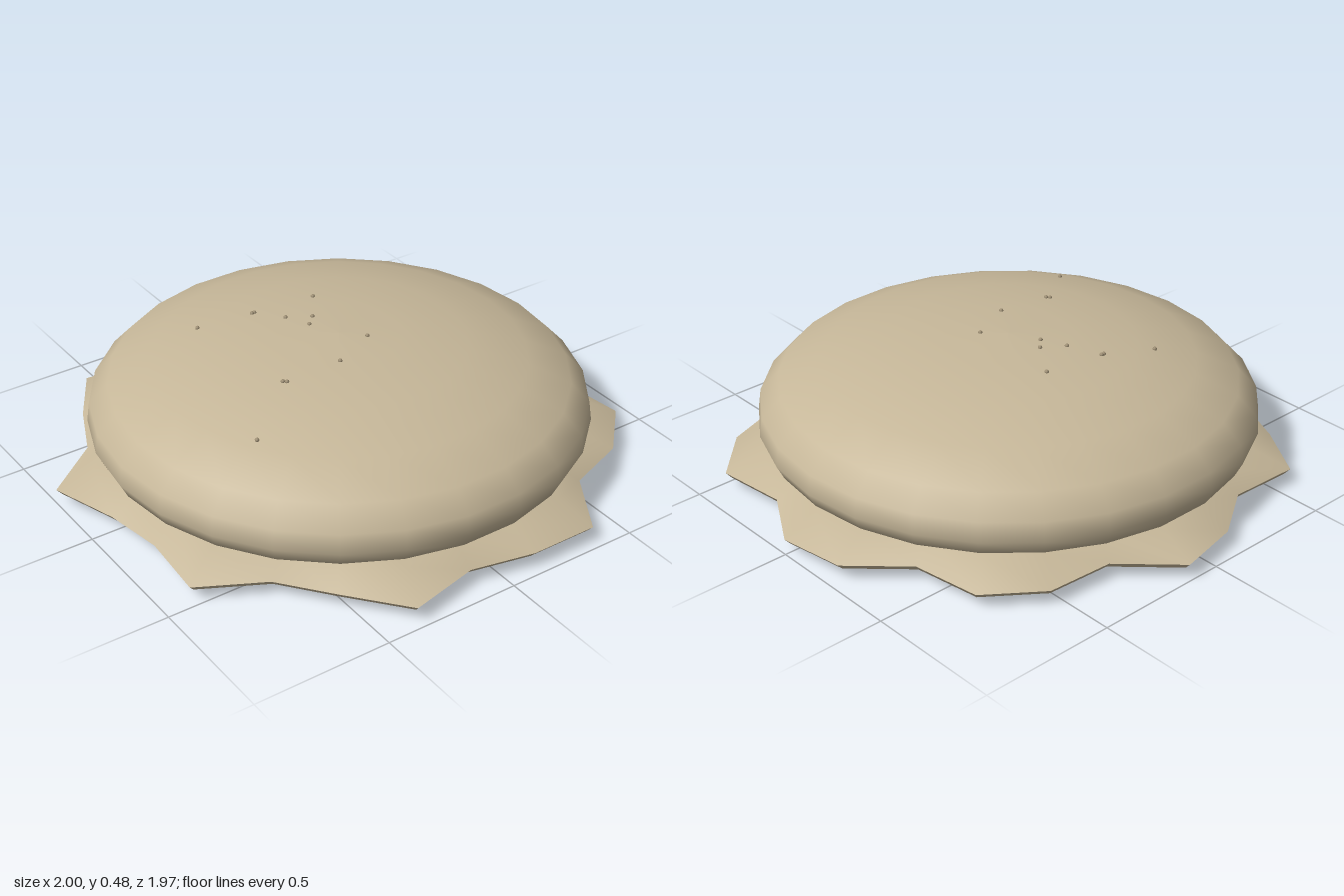
import * as THREE from 'three';
import { mergeVertices, toCreasedNormals } from 'three/addons/utils/BufferGeometryUtils.js';

const SIDES = 26;
const STEP = (Math.PI * 2) / SIDES;
const START = STEP / 2;

const v2 = (p) => new THREE.Vector2(p[0], p[1]);

// Domed bun profile, bottom to top: [radius, height]
const BUN = [
  [0.78, 0.08], [0.86, 0.125], [0.887, 0.18], [0.877, 0.25], [0.81, 0.322],
  [0.66, 0.39], [0.45, 0.44], [0.22, 0.464], [0, 0.47],
];

// Ragged rim radius at each side, going round from the front towards +x
const RIM = [
  0.97, 1.03, 0.89, 0.98, 1.02, 0.9, 1.0, 0.99, 0.88, 0.99, 0.97, 0.87, 1.0,
  0.95, 0.87, 1.0, 0.93, 0.89, 1.03, 0.92, 0.91, 1.02, 0.9, 0.94, 1.04, 0.92,
];

// Skirt section as a fraction of the rim radius
const SKIRT = [
  [0, 0], [0.65, 0.002], [0.82, 0.014], [0.98, 0.036], [1, 0.058],
  [0.87, 0.12], [0.7, 0.15], [0, 0.15],
];

// Crumbs on the dome: [x, z]
const CRUMBS = [
  [-0.35, -0.36], [-0.16, -0.3], [-0.15, -0.3], [-0.09, -0.19], [0.08, -0.27],
  [-0.05, -0.1], [-0.01, -0.14], [0.07, 0.08], [-0.32, 0.14], [-0.31, 0.15],
  [-0.1, 0.16], [-0.54, 0.32],
];

// Height of the dome at a given radius
function domeHeight(r) {
  for (let i = BUN.length - 1; i > 3; i--) {
    const [r0, y0] = BUN[i];
    const [r1, y1] = BUN[i - 1];
    if (r <= r1) return y0 + ((y1 - y0) * (r - r0)) / (r1 - r0);
  }
  return 0.3;
}

// Lathe whose columns are pushed out to the ragged rim
function skirtGeometry() {
  const geo = new THREE.LatheGeometry(SKIRT.map(v2), SIDES, START, Math.PI * 2);
  const pos = geo.attributes.position;
  for (let i = 0; i < pos.count; i++) {
    const k = RIM[Math.floor(i / SKIRT.length) % SIDES];
    pos.setX(i, pos.getX(i) * k);
    pos.setZ(i, pos.getZ(i) * k);
  }
  geo.deleteAttribute('uv');
  geo.deleteAttribute('normal');
  return toCreasedNormals(mergeVertices(geo, 1e-4), 0.7);
}

export function createModel() {
  const model = new THREE.Group();
  model.name = 'bun';
  const dough = new THREE.MeshStandardMaterial({ color: 0xc6b799 });
  dough.name = 'dough';
  const crumb = new THREE.MeshStandardMaterial({ color: 0x9c8d72 });
  crumb.name = 'crumb';

  // Ragged base skirt
  const skirt = new THREE.Mesh(skirtGeometry(), dough);
  skirt.name = 'raggedSkirt';
  model.add(skirt);

  // Smooth dome
  const dome = new THREE.Mesh(
    new THREE.LatheGeometry(BUN.map(v2), SIDES, START, Math.PI * 2), dough);
  dome.name = 'dome';
  dome.position.z = 0.01;
  model.add(dome);

  // Tiny crumbs on top
  const crumbs = new THREE.Group();
  crumbs.name = 'crumbs';
  const crumbGeo = new THREE.SphereGeometry(0.008, 8, 6);
  for (const [x, z] of CRUMBS) {
    const m = new THREE.Mesh(crumbGeo, crumb);
    m.name = 'crumb';
    m.position.set(x, domeHeight(Math.hypot(x, z - 0.01)) + 0.001, z);
    crumbs.add(m);
  }
  model.add(crumbs);
  return model;
}
